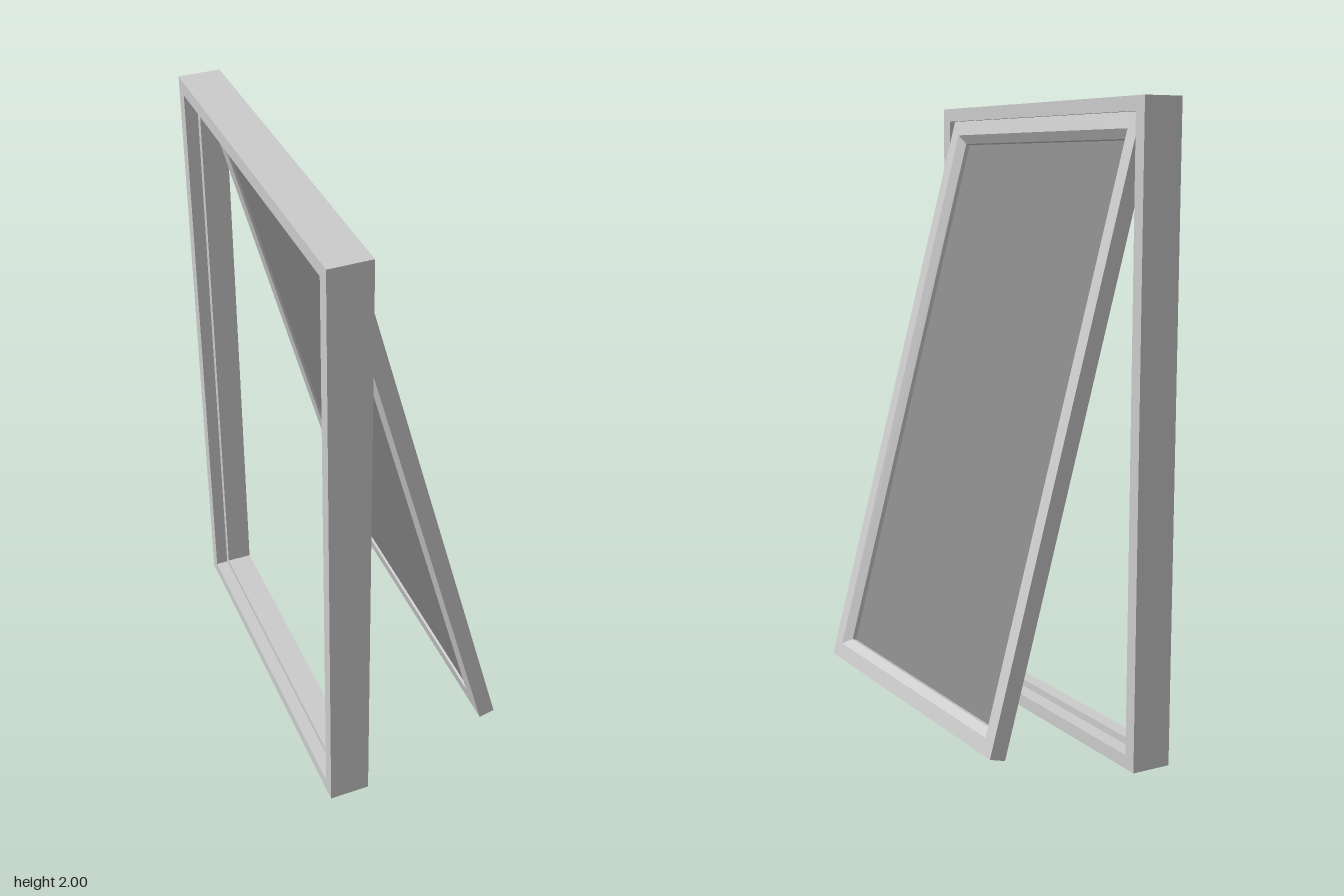
import * as THREE from 'three';

// Sweeps a closed profile of [x, inset] points round a rectangle in the z-y plane, with mitred corners
function mitredRing(width, height, profile) {
  const corners = [[-1, -1], [1, -1], [1, 1], [-1, 1]]; // signs of z, y
  const at = (c, [x, inset]) => [x, c[1] * (height / 2 - inset), c[0] * (width / 2 - inset)];
  const pos = [];
  corners.forEach((a, i) => {
    const b = corners[(i + 1) % 4];
    profile.forEach((p, j) => {
      const q = profile[(j + 1) % profile.length];
      pos.push(...at(a, p), ...at(a, q), ...at(b, q), ...at(a, p), ...at(b, q), ...at(b, p));
    });
  });
  const geo = new THREE.BufferGeometry();
  geo.setAttribute('position', new THREE.Float32BufferAttribute(pos, 3));
  geo.computeVertexNormals();
  return geo;
}

export function createModel() {
  const model = new THREE.Group();
  model.name = 'topHungWindow';
  const grey = new THREE.MeshStandardMaterial({ color: 0xcccccc });
  const glass = new THREE.MeshStandardMaterial({ color: 0x888888 });

  const add = (parent, name, geo, mat, y) => {
    const mesh = new THREE.Mesh(geo, mat);
    mesh.name = name;
    mesh.position.y = y;
    parent.add(mesh);
  };

  // Fixed outer frame, with a raised stop between two rebates
  add(model, 'outerFrame', mitredRing(1.2, 2, [
    [-0.302, 0], [-0.172, 0], [-0.172, 0.043], [-0.222, 0.043],
    [-0.222, 0.066], [-0.262, 0.066], [-0.262, 0.043], [-0.302, 0.043],
  ]), grey, 1);

  // Opening sash, swung out 15 degrees; its origin is the outer bottom edge
  const sash = new THREE.Group();
  sash.name = 'sash';
  sash.position.set(0.3, 0.122, 0);
  sash.rotation.z = THREE.MathUtils.degToRad(15);
  model.add(sash);
  const width = 1.112, length = 1.9, rail = 0.073;

  // Sash rails with a chamfered outer glazing edge
  add(sash, 'sashFrame', mitredRing(width, length, [
    [-0.052, 0], [0, 0], [0, 0.049], [-0.024, rail], [-0.052, rail],
  ]), grey, length / 2);

  // Glass pane, set back in the sash
  const pane = new THREE.BoxGeometry(0.006, length - 2 * rail, width - 2 * rail);
  pane.translate(-0.041, 0, 0);
  add(sash, 'glassPane', pane, glass, length / 2);

  return model;
}
